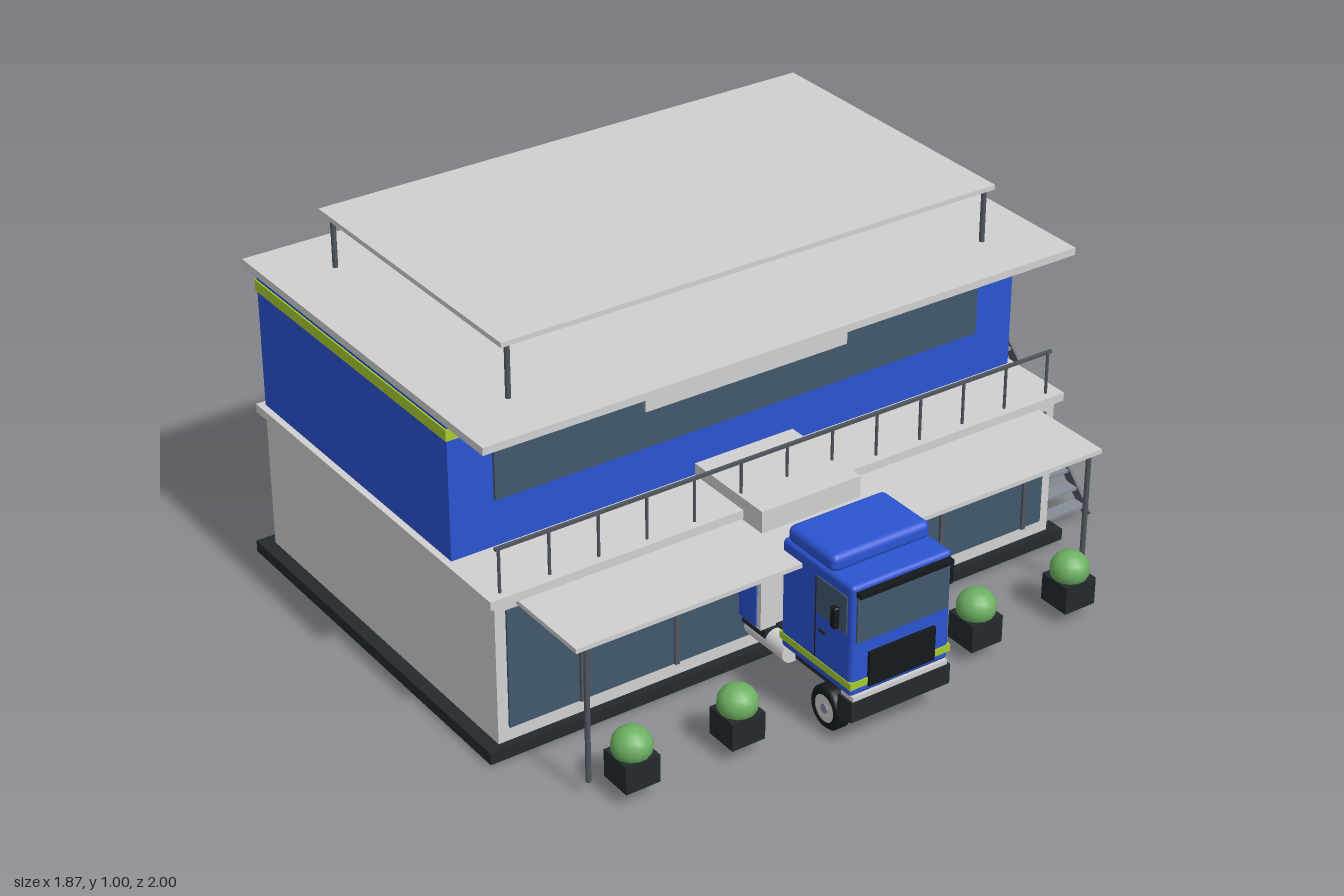
import * as THREE from 'three';
import { RoundedBoxGeometry } from 'three/addons/geometries/RoundedBoxGeometry.js';

const CX = -0.07; // centre line shared by building and truck

export function createModel() {
  const root = new THREE.Group();
  root.name = 'showroomWithTruck';

  const mat = (name, color) => {
    const m = new THREE.MeshStandardMaterial({ color });
    m.name = name;
    return m;
  };
  const white = mat('paleGrey', 0xd0d0d1);
  const blue = mat('blue', 0x2c54d2);
  const lime = mat('lime', 0xa8cb30);
  const glass = mat('glass', 0x42586e);
  const dark = mat('charcoal', 0x23292d);
  const steel = mat('steel', 0x50565f);
  const tread = mat('treadSteel', 0x878d98);
  const leaf = mat('foliage', 0x6db062);
  const black = mat('black', 0x15191c);

  const add = (parent, name, geo, material, x = 0, y = 0, z = 0) => {
    const m = new THREE.Mesh(geo, material);
    m.name = name;
    m.position.set(x, y, z);
    parent.add(m);
    return m;
  };
  // Box given by its extents on each axis
  const box = (parent, name, material, x0, x1, y0, y1, z0, z1, round = 0) => {
    const s = [x1 - x0, y1 - y0, z1 - z0];
    const geo = round ? new RoundedBoxGeometry(...s, 3, round) : new THREE.BoxGeometry(...s);
    return add(parent, name, geo, material, (x0 + x1) / 2, (y0 + y1) / 2, (z0 + z1) / 2);
  };
  // Box centred on the shared centre line
  const mid = (parent, name, material, halfW, y0, y1, z0, z1, round) =>
    box(parent, name, material, CX - halfW, CX + halfW, y0, y1, z0, z1, round);
  const post = (parent, name, material, r, x, y0, y1, z) =>
    add(parent, name, new THREE.CylinderGeometry(r, r, y1 - y0, 10), material, x, (y0 + y1) / 2, z);
  const group = (name) => {
    const g = new THREE.Group();
    g.name = name;
    root.add(g);
    return g;
  };

  // Building shell
  const building = group('building');
  mid(building, 'plinth', dark, 0.868, 0.005, 0.037, -0.575, 0.562);
  mid(building, 'groundFloor', white, 0.832, 0.037, 0.42, -0.54, 0.54);
  mid(building, 'floorSlab', white, 0.85, 0.42, 0.443, -0.557, 0.555);
  mid(building, 'upperFloor', blue, 0.832, 0.443, 0.83, -0.54, 0.355);
  mid(building, 'limeBand', lime, 0.836, 0.765, 0.795, -0.544, 0.359);
  mid(building, 'roof', white, 0.857, 0.83, 0.85, -0.562, 0.555);

  // Raised roof canopy on four posts
  mid(building, 'roofCanopy', white, 0.713, 0.99, 1.003, -0.422, 0.408);
  for (const x of [CX - 0.69, CX + 0.69])
    for (const z of [-0.395, 0.395]) post(building, 'roofPost', steel, 0.007, x, 0.85, 0.99, z);

  // Front glazing and blank sign panel
  mid(building, 'shopWindow', glass, 0.803, 0.075, 0.397, 0.54, 0.546);
  for (let i = 0; i < 6; i++) {
    const x = -0.673 + i * 0.269;
    box(building, 'mullion', steel, x - 0.006, x + 0.006, 0.075, 0.397, 0.544, 0.553);
  }
  mid(building, 'upperWindow', glass, 0.713, 0.57, 0.733, 0.355, 0.363);
  mid(building, 'signPanel', white, 0.297, 0.672, 0.765, 0.355, 0.37);

  // Balcony railing
  const railing = group('railing');
  for (let i = 0; i <= 12; i++) post(railing, 'railingPost', steel, 0.004, CX - 0.81 + i * 0.135, 0.443, 0.56, 0.53);
  mid(railing, 'handrail', steel, 0.82, 0.557, 0.565, 0.526, 0.534);

  // Entrance canopy
  const entrance = group('entranceCanopy');
  mid(entrance, 'canopyRoof', white, 0.773, 0.404, 0.416, 0.54, 0.79);
  for (const x of [CX - 0.74, CX + 0.74]) post(entrance, 'canopyPost', steel, 0.007, x, 0.037, 0.404, 0.78);

  // Outside stair
  const stair = group('stair');
  for (let i = 0; i < 11; i++) {
    const y = 0.036 + i * 0.036, z = 0.49 - i * 0.036;
    box(stair, 'stairTread', tread, 0.78, 0.925, y - 0.004, y + 0.004, z - 0.02, z + 0.02);
  }
  const stringer = add(stair, 'stringer', new THREE.BoxGeometry(0.008, 0.03, 0.575), steel, 0.925, 0.217, 0.315);
  stringer.rotation.x = Math.atan2(0.4, 0.4);

  // Planters with clipped shrubs
  const planters = group('planters');
  for (const x of [-0.723, -0.427, 0.287, 0.585]) {
    box(planters, 'planterBox', dark, x - 0.047, x + 0.047, 0.038, 0.113, 0.784, 0.876);
    add(planters, 'shrub', new THREE.SphereGeometry(0.051, 14, 10), leaf, x, 0.134, 0.83).scale.y = 0.92;
  }

  // Truck cab
  const cab = group('truckCab');
  mid(cab, 'cabBody', blue, 0.146, 0.145, 0.447, 0.71, 0.982, 0.012);
  mid(cab, 'roofFairing', blue, 0.143, 0.44, 0.488, 0.722, 0.905, 0.018);
  mid(cab, 'cabStripe', lime, 0.148, 0.168, 0.187, 0.708, 0.985);
  mid(cab, 'windscreen', glass, 0.134, 0.295, 0.42, 0.98, 0.987);
  mid(cab, 'sunVisor', black, 0.136, 0.422, 0.434, 0.975, 1.0);
  mid(cab, 'grille', black, 0.097, 0.165, 0.258, 0.98, 0.991);
  mid(cab, 'bumperTrim', white, 0.14, 0.132, 0.147, 0.94, 0.986);
  mid(cab, 'bumper', dark, 0.146, 0.08, 0.134, 0.935, 0.99);
  mid(cab, 'cabChassis', dark, 0.1, 0.09, 0.147, 0.54, 0.94);
  for (const s of [-1, 1]) {
    const x = CX + s * 0.1465;
    box(cab, 'sideWindow', glass, x - 0.003, x + 0.003, 0.315, 0.415, 0.85, 0.965);
    box(cab, 'doorGap', dark, x - 0.001, x + 0.001, 0.19, 0.41, 0.843, 0.847);
    box(cab, 'doorHandle', dark, x - 0.004, x + 0.004, 0.27, 0.277, 0.86, 0.885);
    const mx = CX + s * 0.168;
    box(cab, 'mirror', black, mx - 0.008, mx + 0.008, 0.33, 0.388, 0.935, 0.955, 0.005);
    const arm = add(cab, 'mirrorArm', new THREE.CylinderGeometry(0.003, 0.003, 0.04, 6), black, CX + s * 0.155, 0.385, 0.945);
    arm.rotation.z = Math.PI / 2;
    // Fuel tank
    const tank = add(cab, 'fuelTank', new THREE.CylinderGeometry(0.03, 0.03, 0.155, 20), white, CX + s * 0.11, 0.112, 0.632);
    tank.rotation.x = Math.PI / 2;
  }

  // Trailer, passing right through the building
  const trailer = group('trailer');
  mid(trailer, 'trailerBody', white, 0.146, 0.142, 0.475, -0.985, 0.63);
  mid(trailer, 'trailerFrame', dark, 0.14, 0.122, 0.142, -0.985, 0.64);
  mid(trailer, 'trailerChassis', dark, 0.06, 0.07, 0.122, -0.93, -0.54);
  for (const s of [-1, 1]) {
    const x = CX + s * 0.147;
    box(trailer, 'bluePanel', blue, x - 0.003, x + 0.003, 0.147, 0.275, -0.972, 0.615);
    box(trailer, 'limeStripe', lime, x - 0.004, x + 0.004, 0.275, 0.294, -0.972, 0.615);
  }
  mid(trailer, 'rearDoors', steel, 0.148, 0.14, 0.477, -0.995, -0.982);
  for (const dx of [-0.14, -0.07, 0, 0.07, 0.14])
    box(trailer, 'doorRib', dark, CX + dx - 0.006, CX + dx + 0.006, 0.145, 0.47, -1.0, -0.99);
  mid(trailer, 'rearBumper', white, 0.135, 0.076, 0.09, -0.995, -0.982);
  for (const s of [-1, 1]) {
    const x = CX + s * 0.08;
    box(trailer, 'bumperBracket', dark, x - 0.006, x + 0.006, 0.08, 0.125, -0.985, -0.975);
  }

  // Wheels: rounded tyre with a pale rim and a dark hub
  const wheels = group('wheels');
  const tyrePoints = [[0.036, -0.021], [0.05, -0.021], [0.057, -0.014], [0.057, 0.014], [0.05, 0.021], [0.036, 0.021]];
  const tyre = new THREE.LatheGeometry(tyrePoints.map((p) => new THREE.Vector2(...p)), 28);
  const rim = new THREE.CylinderGeometry(0.037, 0.037, 0.036, 24);
  const hub = new THREE.CylinderGeometry(0.013, 0.013, 0.044, 12);
  for (const z of [0.88, -0.67, -0.827]) {
    const axle = add(wheels, 'axle', new THREE.CylinderGeometry(0.01, 0.01, 0.22, 8), dark, CX, 0.058, z);
    axle.rotation.z = Math.PI / 2;
    for (const s of [-1, 1]) {
      const wheel = new THREE.Group();
      wheel.name = 'wheel';
      wheel.position.set(CX + s * 0.121, 0.058, z);
      wheel.rotation.z = Math.PI / 2;
      add(wheel, 'tyre', tyre, black);
      add(wheel, 'rim', rim, white);
      add(wheel, 'hub', hub, tread);
      wheels.add(wheel);
    }
  }

  return root;
}
